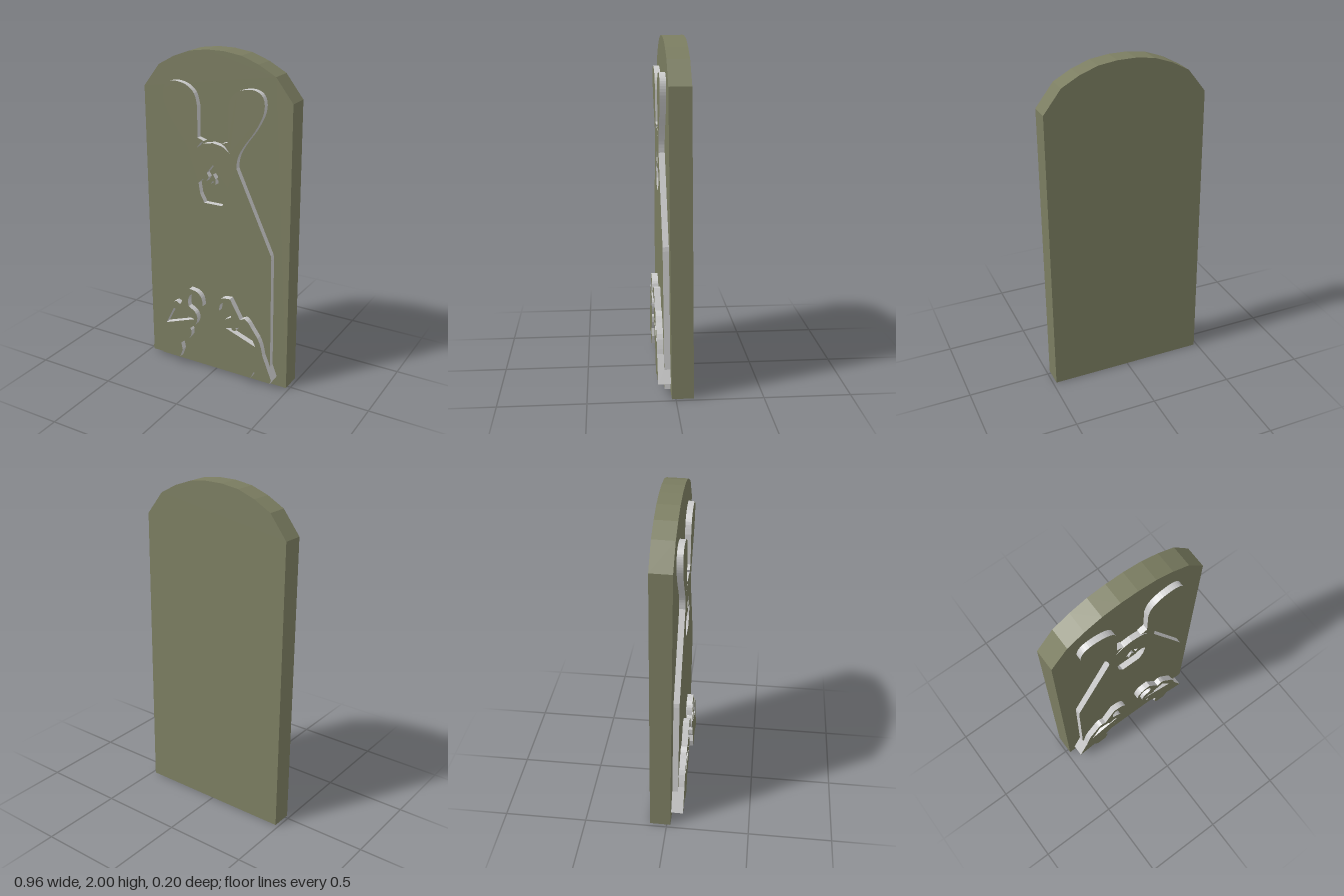
import * as THREE from 'three';

const olive = new THREE.MeshStandardMaterial({ color: 0x7b7d61, flatShading: true });
const grey = new THREE.MeshStandardMaterial({ color: 0xcccccc });

const toPoints = (list) => list.map(([x, y]) => new THREE.Vector2(x, y));
const smooth = (list, n) => new THREE.SplineCurve(toPoints(list)).getPoints(n).map((p) => [p.x, p.y]);
// completes a left half outline (bottom to top centre) with its mirror image
const symmetric = (half, axis = 0) => [...half, ...half.map(([x, y]) => [2 * axis - x, y]).reverse()];

// flat plate standing out from local z0, with wound outline and optional holes
function plate(name, outline, holes, z0, depth, materials) {
  let pts = toPoints(outline).filter((p, i, a) => i === 0 || p.distanceTo(a[i - 1]) > 1e-4);
  if (THREE.ShapeUtils.isClockWise(pts)) pts = pts.reverse();
  const shape = new THREE.Shape(pts);
  for (const h of holes) shape.holes.push(new THREE.Path(toPoints(h)));
  const geo = new THREE.ExtrudeGeometry(shape, { depth, bevelEnabled: false });
  geo.translate(0, 0, z0);
  const mesh = new THREE.Mesh(geo, materials);
  mesh.name = name;
  return mesh;
}

export function createModel() {
  const group = new THREE.Group();
  group.name = 'reliefSlab';
  const relief = [olive, grey]; // faces olive, edges grey
  const front = 0.022;

  // slab with a faceted arched top
  const slab = symmetric([[-0.48, 0], [-0.48, 1.755], [-0.375, 1.89], [-0.27, 1.947], [-0.164, 1.985], [-0.053, 2]]);
  group.add(plate('slab', slab, [], front - 0.125, 0.125, olive));

  // long-eared figure: body, ear curve, notch and brow
  const figure = symmetric([
    [-0.388, 0.02], [-0.383, 0.84], [-0.38, 0.865],
    ...smooth([[-0.153, 1.355], [-0.163, 1.42], [-0.2, 1.49], [-0.27, 1.586], [-0.317, 1.676], [-0.327, 1.745],
      [-0.306, 1.793], [-0.253, 1.814], [-0.174, 1.8], [-0.12, 1.756], [-0.1, 1.687]], 40),
    [-0.1, 1.5], [-0.058, 1.486], [-0.08, 1.474], [-0.11, 1.437],
    ...smooth([[-0.1, 1.445], [-0.06, 1.47], [0, 1.482]], 8),
  ]);
  // nose and mouth opening
  const mouth = symmetric([
    [0, 1.1], [-0.06, 1.112], [-0.088, 1.165], [-0.098, 1.23], [-0.068, 1.258],
    [-0.045, 1.248], [-0.028, 1.275], [-0.042, 1.298], [0, 1.353],
  ].slice(1));
  group.add(plate('figure', figure, [mouth], front, 0.035, relief));
  const teeth = symmetric([[-0.016, 1.235], [-0.016, 1.27], [0, 1.295]]);
  teeth.splice(3, 1);
  teeth.push([0, 1.258]);
  group.add(plate('teeth', teeth, [], front, 0.035, relief));

  // horned creature, facing the middle
  const creature = [
    [-0.222, 0.424],
    // horn
    [-0.153, 0.546],
    ...smooth([[-0.12, 0.543], [-0.09, 0.532], [-0.065, 0.5], [-0.058, 0.451]], 8),
    ...smooth([[-0.077, 0.449], [-0.085, 0.493], [-0.116, 0.515], [-0.148, 0.504], [-0.164, 0.467], [-0.16, 0.426]], 12),
    // face
    ...smooth([[-0.158, 0.424], [-0.116, 0.398], [-0.099, 0.361], [-0.111, 0.313], [-0.153, 0.276]], 12),
    [-0.143, 0.262], [-0.146, 0.225], [-0.164, 0.198],
    // foot
    [-0.222, 0.154], [-0.211, 0.106], [-0.232, 0.048], [-0.296, 0.048], [-0.317, 0.095],
    // back
    [-0.438, 0.064], [-0.375, 0.223],
    ...smooth([[-0.37, 0.25], [-0.349, 0.318], [-0.301, 0.387], [-0.275, 0.424], [-0.25, 0.44]], 10),
  ];
  const socket = [[-0.122, 0.345], [-0.269, 0.387], [-0.328, 0.27]];
  const pupil = Array.from({ length: 12 }, (_, i) => {
    const a = (i / 12) * Math.PI * 2;
    return [-0.18 + 0.017 * Math.cos(a), 0.357 - 0.004 + 0.013 * Math.sin(a)];
  });
  for (const [side, flip] of [['right', false], ['left', true]]) {
    const place = (pts) => (flip ? pts.map(([x, y]) => [-0.021 - x, y]) : pts);
    group.add(plate(side + 'Creature', place(creature), [place(socket)], front, 0.073, relief));
    group.add(plate(side + 'CreatureEye', place(pupil), [], front, 0.073, relief));
  }

  // slight forward lean
  group.rotation.x = 0.0117;
  const root = new THREE.Group();
  root.name = 'model';
  root.add(group);
  return root;
}
